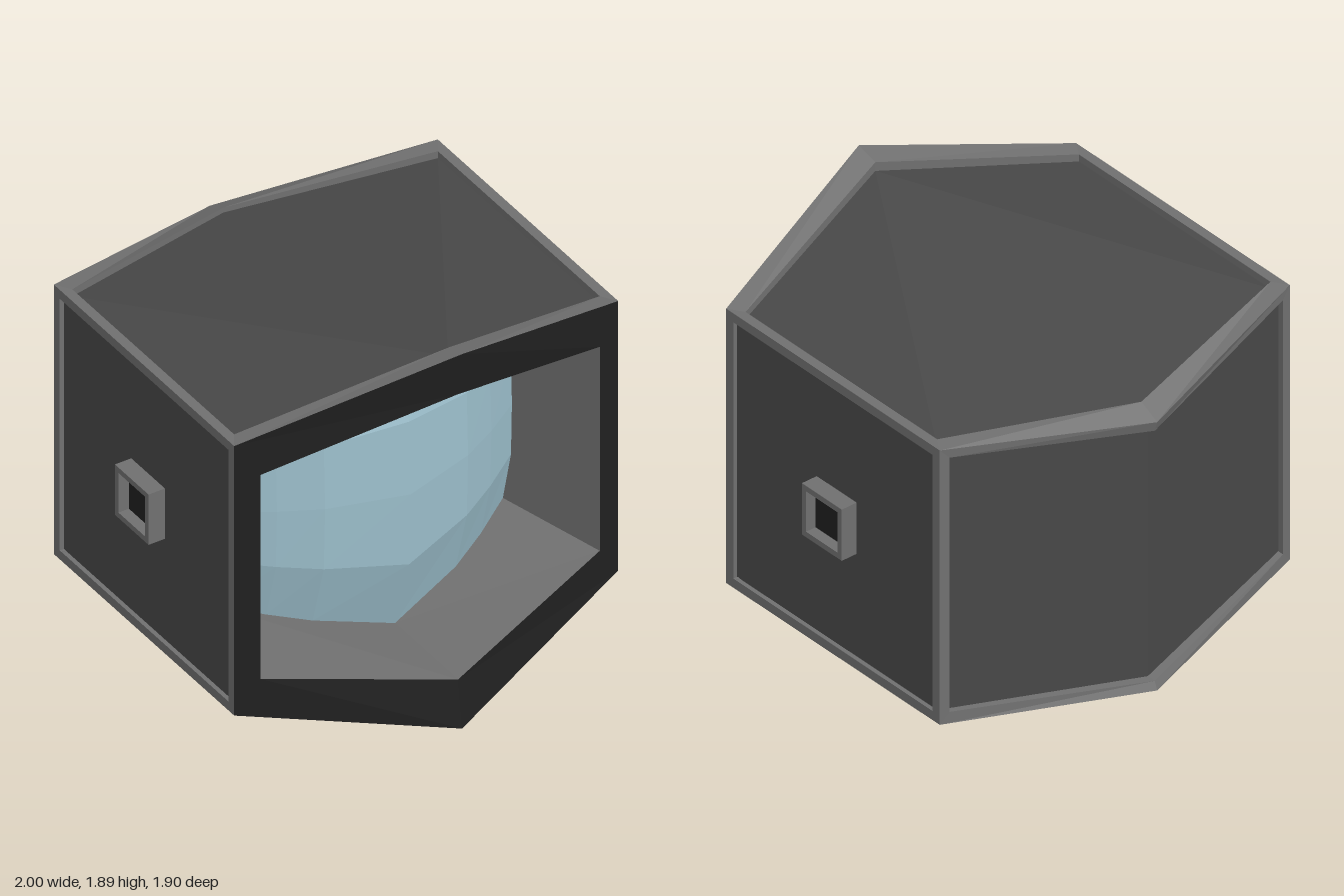
import * as THREE from 'three';

const mat = (name, color) => {
  const m = new THREE.MeshStandardMaterial({ color, side: THREE.DoubleSide });
  m.name = name;
  return m;
};

// Mirrored six-point loop: centre point [y, z], two +x corners, centre point [y, z]
const hex = (a, p, q, b) => [
  [0, ...a], p, q, [0, ...b],
  [-q[0], q[1], q[2]], [-p[0], p[1], p[2]],
];
const shift = (loop, dx, dy, dz) => loop.map(([x, y, z]) => [x + dx, y + dy, z + dz]);

const quad = (a, b, c, d) => [a, b, c, a, c, d];

// Closed band of quads between two loops
const band = (A, B) => A.flatMap((p, i) => {
  const j = (i + 1) % A.length;
  return quad(p, A[j], B[j], B[i]);
});
// Hexagon folded along x = 0
const folded = (L) => [
  ...quad(L[0], L[1], L[2], L[3]),
  ...quad(L[0], L[5], L[4], L[3]),
];

function facets(name, points, material) {
  const g = new THREE.BufferGeometry();
  g.setAttribute('position', new THREE.Float32BufferAttribute(points.flat(), 3));
  g.computeVertexNormals();
  const m = new THREE.Mesh(g, material);
  m.name = name;
  return m;
}

// Square bar running from a to b
function beam(name, a, b, w, h, material) {
  const A = new THREE.Vector3(...a), B = new THREE.Vector3(...b);
  const m = new THREE.Mesh(new THREE.BoxGeometry(w, h, A.distanceTo(B)), material);
  m.position.copy(A).add(B).multiplyScalar(0.5);
  m.lookAt(B);
  m.name = name;
  return m;
}

export function createModel() {
  const frame = mat('frame grey', 0x707070);
  const panel = mat('panel grey', 0x484848);
  const black = mat('black', 0x202020);
  const glass = mat('pale blue glass', 0x9dc0cd);
  const model = new THREE.Group();
  model.name = 'visorHelmet';

  // Raised rim, its inner wall and the sunken panel
  const framedPanel = (name, outer, rim, sunk) => {
    const g = new THREE.Group();
    g.name = name;
    g.add(facets(name + 'Rim', [...band(outer, rim), ...band(rim, sunk)], frame));
    g.add(facets(name + 'Panel', sunk.length === 6 ? folded(sunk) : quad(...sunk), panel));
    model.add(g);
  };

  // Top
  framedPanel('top',
    hex([1.89, 0.95], [0.94, 1.63, 0.68], [0.94, 1.63, -0.68], [1.5, -0.95]),
    hex([1.86, 0.845], [0.895, 1.63, 0.61], [0.895, 1.63, -0.61], [1.55, -0.85]),
    hex([1.817, 0.845], [0.895, 1.595, 0.61], [0.895, 1.595, -0.61], [1.525, -0.85]));

  // Back
  framedPanel('back',
    hex([1.5, -0.95], [0.94, 1.63, -0.68], [0.94, 0.27, -0.68], [0.17, -0.95]),
    hex([1.45, -0.935], [0.895, 1.58, -0.69], [0.895, 0.32, -0.69], [0.21, -0.935]),
    hex([1.46, -0.89], [0.895, 1.58, -0.66], [0.895, 0.32, -0.66], [0.21, -0.89]));

  // Sides with their square sockets
  for (const s of [1, -1]) {
    const side = s > 0 ? 'left' : 'right';
    const rect = (x, h) => [[1, 1], [1, -1], [-1, -1], [-1, 1]]
      .map(([u, v]) => [s * x, 0.95 + u * h, v * h]);
    framedPanel(side + 'Side', rect(0.94, 0.68), rect(0.94, 0.635), rect(0.92, 0.635));

    const shape = new THREE.Shape();
    const hole = new THREE.Path();
    for (const [path, h] of [[shape, 0.127], [hole, 0.1]]) {
      path.moveTo(-h, -h).lineTo(h, -h).lineTo(h, h).lineTo(-h, h).closePath();
    }
    shape.holes.push(hole);
    const socket = new THREE.Mesh(
      new THREE.ExtrudeGeometry(shape, { depth: 0.085, bevelEnabled: false }), frame);
    socket.position.set(s * 0.915, 0.95, 0);
    socket.rotation.y = s * Math.PI / 2;
    socket.name = side + 'Socket';
    const core = new THREE.Mesh(new THREE.BoxGeometry(0.008, 0.2, 0.2), black);
    core.position.set(s * 0.945, 0.95, 0);
    core.name = side + 'SocketCore';
    model.add(socket, core);
  }

  // Black front surround and the tapering walls behind it
  const front = hex([1.89, 0.95], [0.94, 1.63, 0.68], [0.94, 0.27, 0.68], [0, 0.95]);
  const opening = hex([1.67, 0.92], [0.83, 1.46, 0.71], [0.83, 0.43, 0.71], [0.23, 0.92]);
  const screenEdge = hex([1.67, 0.445], [0.7, 1.46, 0.18], [0.7, 0.43, 0.18], [0.23, 0.445]);
  model.add(facets('frontSurround', band(front, opening), black));
  model.add(facets('visorWalls', band(opening, screenEdge), frame));

  // Bulging faceted screen
  const columns = [-0.7, -0.525, -0.35, 0, 0.35, 0.525, 0.7];
  const bulge = [0, 0.9, 1, 0.9, 0];
  const point = (x, r) => {
    const u = Math.abs(x) / 0.7;
    const low = 0.23 + 0.2 * u, high = 1.67 - 0.21 * u;
    const z = 0.18 + 0.265 * (1 - u ** 1.7) + bulge[r] * (0.118 - 0.05 * u);
    return [x, low + (high - low) * r / 4, z];
  };
  const screen = [];
  for (let c = 0; c < 6; c++) {
    for (let r = 0; r < 4; r++) {
      screen.push(...quad(point(columns[c], r), point(columns[c + 1], r),
        point(columns[c + 1], r + 1), point(columns[c], r + 1)));
    }
  }
  model.add(facets('screen', screen, glass));

  // Underside: rim, sloping panels and neck ring
  const base = hex([0, 0.95], [0.94, 0.27, 0.68], [0.94, 0.27, -0.68], [0.17, -0.95]);
  const baseRim = hex([0.02, 0.86], [0.895, 0.27, 0.62], [0.895, 0.27, -0.62], [0.18, -0.86]);
  const baseSunk = shift(baseRim, 0, 0.03, 0);
  const ring = hex([0.12, 0.37], [0.66, 0.21, 0.21], [0.66, 0.21, -0.21], [0.175, -0.37]);
  const ringInner = hex([0.125, 0.31], [0.6, 0.21, 0.18], [0.6, 0.21, -0.18], [0.175, -0.31]);
  const ringTop = shift(ring, 0, 0.035, 0);
  const ringCap = shift(ringInner, 0, 0.08, 0);
  model.add(facets('baseRim', [...band(base, baseRim), ...band(baseRim, baseSunk)], frame));
  model.add(facets('basePanels', band(baseSunk, ringTop), panel));
  model.add(facets('neckRing',
    [...band(ringTop, ring), ...band(ring, ringInner), ...band(ringInner, ringCap)], frame));
  model.add(facets('neckPlate', folded(ringCap), panel));

  // Struts from the base corners to the neck ring
  for (const sx of [1, -1]) {
    for (const sz of [1, -1]) {
      model.add(beam('baseStrut', [sx * 0.91, 0.295, sz * 0.64],
        [sx * 0.645, 0.235, sz * 0.205], 0.06, 0.045, frame));
    }
  }
  return model;
}
